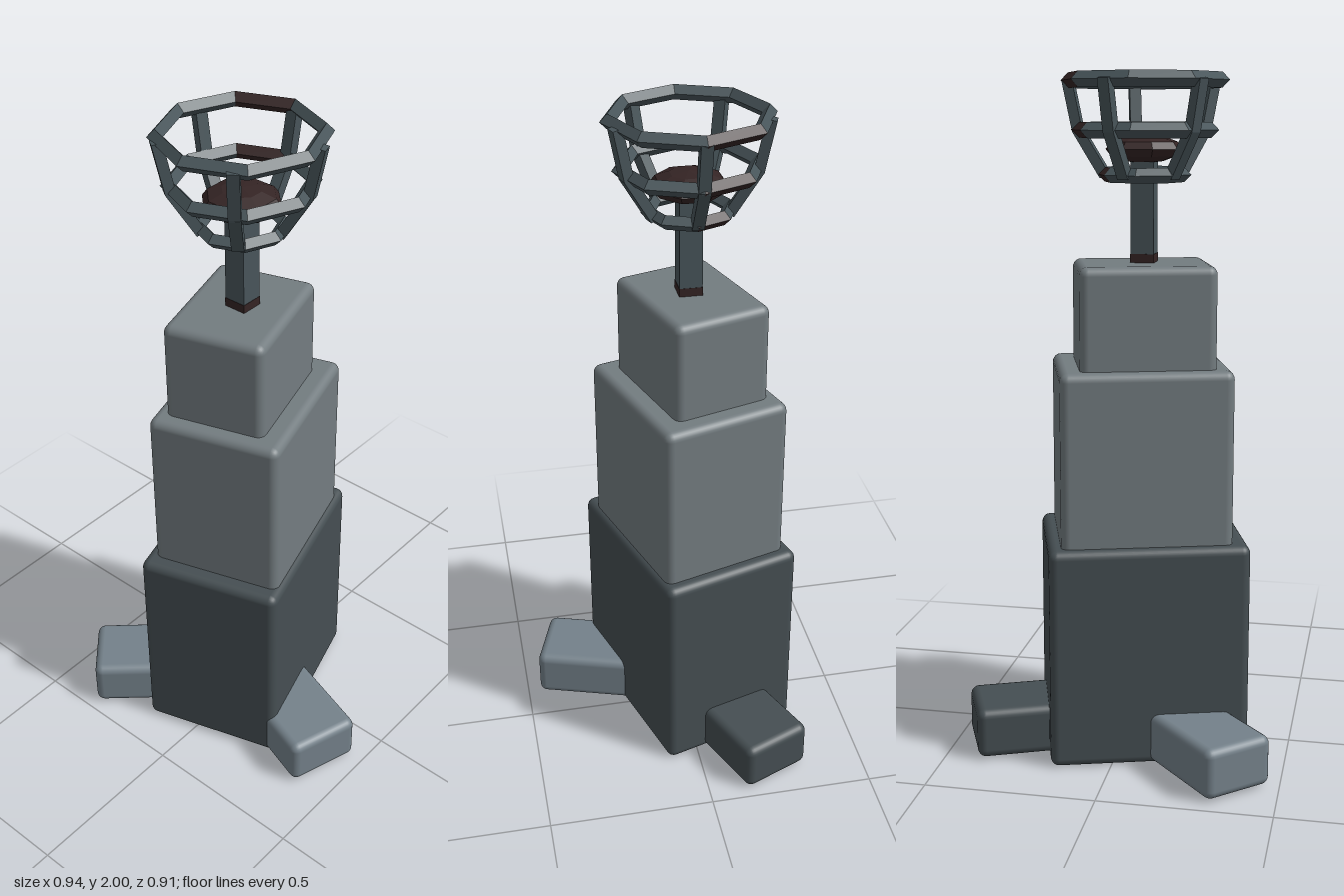
import * as THREE from 'three';
import { RoundedBoxGeometry } from 'three/addons/geometries/RoundedBoxGeometry.js';

const rad = THREE.MathUtils.degToRad;

function material(name, color, flatShading = false) {
  const m = new THREE.MeshStandardMaterial({ color, flatShading });
  m.name = name;
  return m;
}

export function createModel() {
  const lightStone = material('light stone', 0x737c80);
  const paleStone = material('pale stone', 0x74818a);
  const darkStone = material('dark stone', 0x454e52);
  const metal = material('iron', 0x48555a, true);
  const rust = material('scorched brown', 0x342424, true);

  const model = new THREE.Group();
  model.name = 'brazierTower';

  function add(parent, name, geometry, mat, x = 0, y = 0, z = 0) {
    const mesh = new THREE.Mesh(geometry, mat);
    mesh.name = name;
    mesh.position.set(x, y, z);
    parent.add(mesh);
    return mesh;
  }

  // Stone block with softened edges, resting on height y0
  function block(name, mat, w, h, d, x, y0, z, turn) {
    const geometry = new RoundedBoxGeometry(w, h, d, 3, 0.025);
    add(model, name, geometry, mat, x, y0 + h / 2, z).rotation.y = rad(turn);
  }

  // Stacked tower
  block('towerBase', darkStone, 0.586, 0.66, 0.443, -0.047, 0, -0.032, 17);
  block('towerMiddle', lightStone, 0.5, 0.54, 0.4, -0.04, 0.63, -0.028, 17);
  block('towerTop', lightStone, 0.393, 0.33, 0.303, -0.05, 1.135, -0.04, 17);

  // Footing stones
  block('frontFooting', paleStone, 0.23, 0.15, 0.34, -0.157, 0.006, 0.268, -18);
  block('leftFooting', darkStone, 0.225, 0.15, 0.34, 0.278, 0.006, -0.156, 113);
  block('backFooting', paleStone, 0.22, 0.15, 0.34, -0.281, 0.006, -0.266, -138);

  // Fire basket on its post
  const basket = new THREE.Group();
  basket.name = 'fireBasket';
  basket.position.set(-0.05, 0, -0.032);
  model.add(basket);

  add(basket, 'post', new THREE.BoxGeometry(0.067, 0.28, 0.067), metal, 0, 1.63, 0);
  add(basket, 'postFoot', new THREE.BoxGeometry(0.069, 0.04, 0.069), rust, 0, 1.47, 0);

  // Octagonal hoops, each with one scorched side
  const hoops = [
    { y: 1.715, R: 0.116, r: 0.021 },
    { y: 1.84, R: 0.193, r: 0.022 },
    { y: 1.978, R: 0.222, r: 0.022 },
  ];
  for (const { y, R, r } of hoops) {
    const arc = (sides) =>
      new THREE.TorusGeometry(R, r, 4, sides, sides * Math.PI / 4).rotateX(Math.PI / 2);
    add(basket, 'hoop', arc(7), metal, 0, y, 0);
    add(basket, 'scorchedHoopSide', arc(1).rotateY(Math.PI / 4), rust, 0, y, 0);
  }

  // Five bent ribs joining the hoops
  for (let i = 0; i < 5; i++) {
    const rib = new THREE.Group();
    rib.name = 'rib';
    rib.rotation.y = -i * Math.PI * 2 / 5;
    basket.add(rib);
    for (let k = 0; k < 2; k++) {
      const a = hoops[k], b = hoops[k + 1];
      const dx = b.R - a.R, dy = b.y - a.y;
      const geometry = new THREE.BoxGeometry(0.03, Math.hypot(dx, dy) + 0.008, 0.034);
      const bar = add(rib, 'ribBar', geometry, metal, (a.R + b.R) / 2, (a.y + b.y) / 2, 0);
      bar.rotation.z = -Math.atan2(dx, dy);
    }
  }

  // Flattened ember mound
  const ember = new THREE.SphereGeometry(0.112, 8, 6).rotateY(Math.PI / 8).scale(1, 0.36, 1);
  add(basket, 'emberMound', ember, rust, 0, 1.787, 0);

  return model;
}
